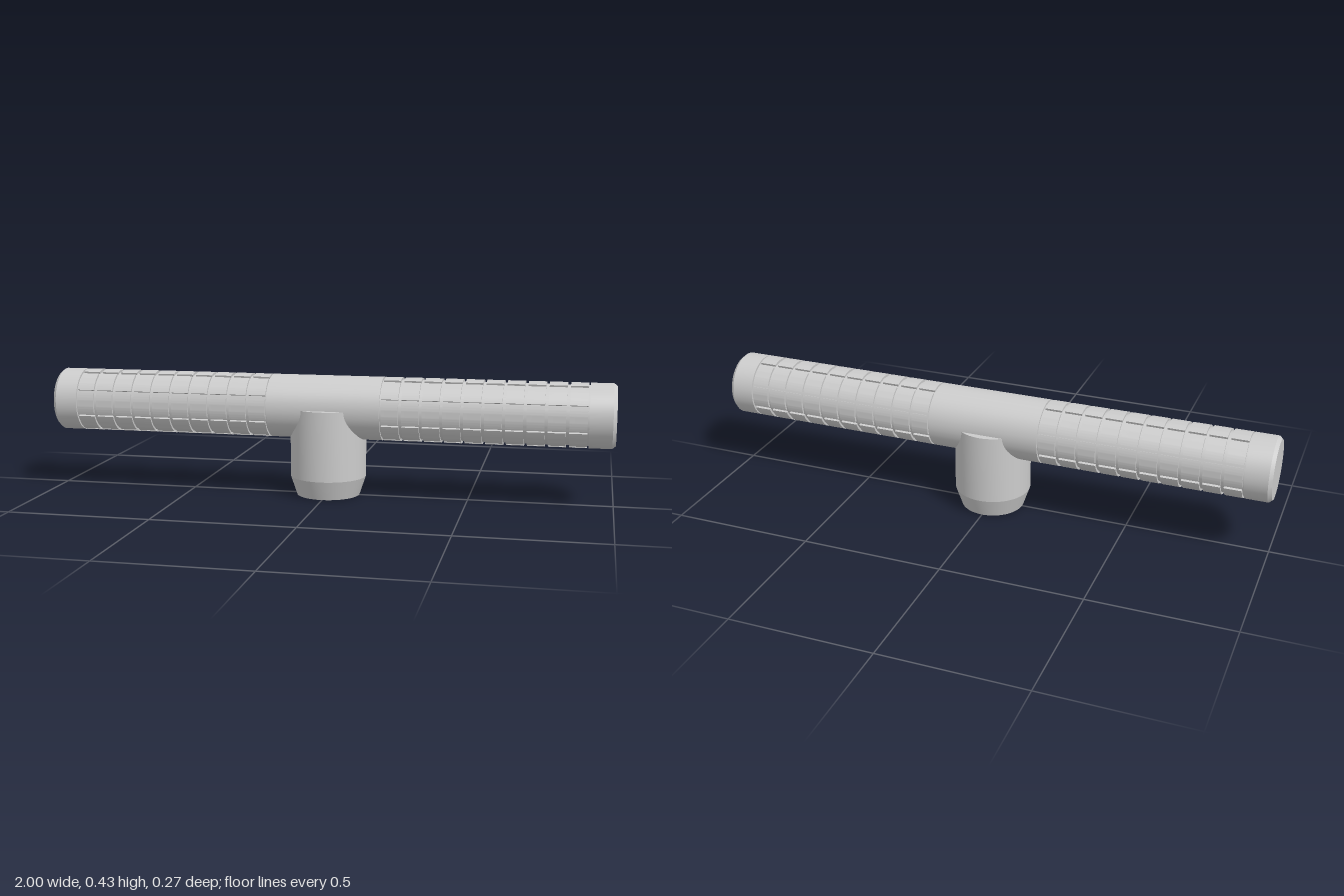
import * as THREE from 'three';
import { mergeGeometries, toCreasedNormals } from 'three/addons/utils/BufferGeometryUtils.js';

const AXIS_Y = 0.315; // height of the bar's axis
const R = 0.112; // bar radius
const CORE = 0.104; // radius at the bottom of the grooves
const GRIP_IN = 0.2, GRIP_OUT = 0.91; // extent of each grip along x
const ROWS = 8, COLS = 10, GROOVE = 0.011;

const grey = new THREE.MeshStandardMaterial({ color: 0xcccccc });
const greyDouble = new THREE.MeshStandardMaterial({ color: 0xcccccc, side: THREE.DoubleSide });

function part(name, geometry, material = grey) {
  const mesh = new THREE.Mesh(geometry, material);
  mesh.name = name;
  return mesh;
}

function turned(points, segments = 64) {
  const profile = points.map(([r, y]) => new THREE.Vector2(r, y));
  return toCreasedNormals(new THREE.LatheGeometry(profile, segments), 0.25);
}

// One curved pad, centred on x = 0 and on angle 0
function padGeometry(length) {
  const half = Math.PI / ROWS - GROOVE / 2 / R;
  const shape = new THREE.Shape();
  shape.absarc(0, 0, R, -half, half, false);
  shape.absarc(0, 0, CORE - 0.003, half, -half, true);
  const geometry = new THREE.ExtrudeGeometry(shape, { depth: length, bevelEnabled: false, curveSegments: 8 });
  geometry.translate(0, 0, -length / 2).rotateY(Math.PI / 2);
  return toCreasedNormals(geometry, 0.4);
}

// Grid of pads around one arm of the bar
function gripGeometry(side) {
  const pitch = (GRIP_OUT - GRIP_IN) / COLS;
  const pad = padGeometry(pitch - GROOVE);
  const pads = [];
  for (let c = 0; c < COLS; c++) {
    for (let r = 0; r < ROWS; r++) {
      const x = side * (GRIP_IN + (c + 0.5) * pitch);
      pads.push(pad.clone().rotateX((r / ROWS) * Math.PI * 2).translate(x, 0, 0));
    }
  }
  return mergeGeometries(pads);
}

export function createModel() {
  const model = new THREE.Group();
  model.name = 'teeHandle';

  // Bar with chamfered ends and a recessed core under each grip
  const half = [[R, GRIP_IN], [CORE, GRIP_IN], [CORE, GRIP_OUT], [R, GRIP_OUT], [R, 0.988], [0.102, 1], [0, 1]];
  const mirrored = half.map(([r, x]) => [r, -x]).reverse();
  const bar = new THREE.Group();
  bar.name = 'bar';
  bar.position.y = AXIS_Y;
  bar.add(part('barCore', turned([...mirrored, ...half]).rotateZ(-Math.PI / 2)));
  bar.add(part('leftGrip', gripGeometry(1)));
  bar.add(part('rightGrip', gripGeometry(-1)));
  model.add(bar);

  // Stem with a tapered foot and a flat top shoulder
  const stem = new THREE.Group();
  stem.name = 'stem';
  stem.add(part('stemBody', turned([[R, 0], [0.135, 0.068], [0.135, AXIS_Y], [0, AXIS_Y]])));

  // Underside with a central bore and a small pin hole
  const underside = new THREE.Shape().absarc(0, 0, R, 0, Math.PI * 2, false);
  const holes = [
    { name: 'centreBore', x: 0, z: 0, radius: 0.035, depth: 0.15 },
    { name: 'pinHole', x: 0.035, z: -0.065, radius: 0.008, depth: 0.05 },
  ];
  for (const { name, x, z, radius, depth } of holes) {
    underside.holes.push(new THREE.Path().absarc(x, z, radius, 0, Math.PI * 2, true));
    const bore = part(name, turned([[radius, 0], [radius, depth], [0, depth]], 32), greyDouble);
    bore.position.set(x, 0, z);
    stem.add(bore);
  }
  stem.add(part('stemUnderside', new THREE.ShapeGeometry(underside, 32).rotateX(Math.PI / 2)));
  model.add(stem);

  return model;
}
